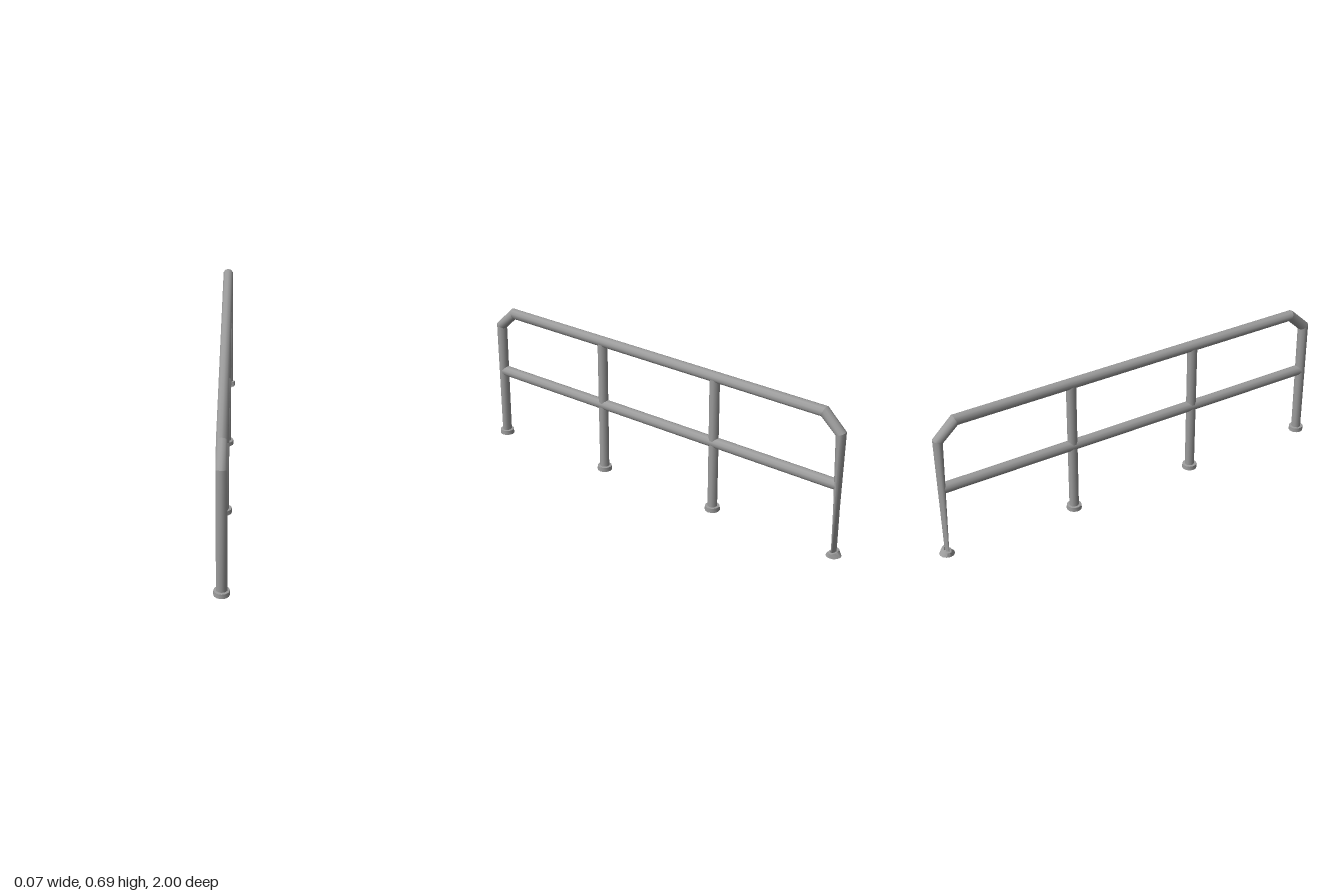
import * as THREE from 'three';
import { toCreasedNormals } from 'three/addons/utils/BufferGeometryUtils.js';

const SIDES = 10, R = 0.0245;

// Mitred pipe through [z, y, flattening] points in the x = 0 plane, crisp at each bend
function mitredPipe(path) {
  const position = [], index = [];
  const dirs = path.slice(1).map((p, i) =>
    new THREE.Vector2(p[0] - path[i][0], p[1] - path[i][1]).normalize());
  const ring = (i) => {
    const a = dirs[Math.max(i - 1, 0)], b = dirs[Math.min(i, dirs.length - 1)];
    const t = a.clone().add(b).normalize();
    const r = R / t.dot(a) * path[i][2];
    for (let j = 0; j < SIDES; j++) {
      const ang = j / SIDES * Math.PI * 2 + Math.PI / SIDES * 5;
      const s = Math.sin(ang) * r;
      position.push(Math.cos(ang) * R, path[i][1] - t.x * s, path[i][0] + t.y * s);
    }
  };
  for (let i = 0; i < dirs.length; i++) {
    const o = position.length / 3;
    ring(i);
    ring(i + 1);
    for (let j = 0; j < SIDES; j++) {
      const k = (j + 1) % SIDES;
      index.push(o + j, o + SIDES + j, o + k, o + k, o + SIDES + j, o + SIDES + k);
    }
  }
  const g = new THREE.BufferGeometry();
  g.setAttribute('position', new THREE.Float32BufferAttribute(position, 3));
  g.setIndex(index);
  g.computeVertexNormals();
  return g;
}

// Ring-shaped foot, open through the middle; topDepth narrows its top along z
function footGeometry(topDepth) {
  const profile = [[0.022, 0.022], [0.022, 0], [0.035, 0], [0.034, 0.021], [0.022, 0.022]];
  const g = new THREE.LatheGeometry(profile.map(([x, y]) => new THREE.Vector2(x, y)), 12);
  const p = g.attributes.position;
  for (let i = 0; i < p.count; i++) {
    if (p.getY(i) > 0.01) p.setZ(i, p.getZ(i) * topDepth);
  }
  return toCreasedNormals(g, 0.7);
}

export function createModel() {
  const model = new THREE.Group();
  model.name = 'guardRail';
  const steel = new THREE.MeshStandardMaterial({ color: 0x9c9c9c });
  steel.name = 'grey steel';

  const add = (name, geometry, y = 0, z = 0) => {
    const mesh = new THREE.Mesh(geometry, steel);
    mesh.name = name;
    mesh.position.set(0, y, z);
    model.add(mesh);
    return mesh;
  };

  // End posts, angled corners and top rail in one pipe; the back post thins downward
  add('topRailAndEndPosts', mitredPipe([
    [0.965, 0.008, 0.85], [0.965, 0.585, 1], [0.88, 0.664, 1],
    [-0.88, 0.664, 1], [-0.965, 0.585, 0.9], [-0.965, 0.008, 0.1],
  ]));

  // Middle rail
  add('middleRail', new THREE.CylinderGeometry(R, R, 1.93, SIDES), 0.345).rotation.x = Math.PI / 2;

  // Inner posts
  for (const z of [0.322, -0.318]) {
    add('innerPost', new THREE.CylinderGeometry(0.023, 0.022, 0.652, SIDES), 0.334, z);
  }

  // Feet
  for (const z of [0.965, 0.322, -0.318, -0.965]) {
    add('foot', footGeometry(z < -0.9 ? 0.5 : 1), 0, z);
  }
  return model;
}
